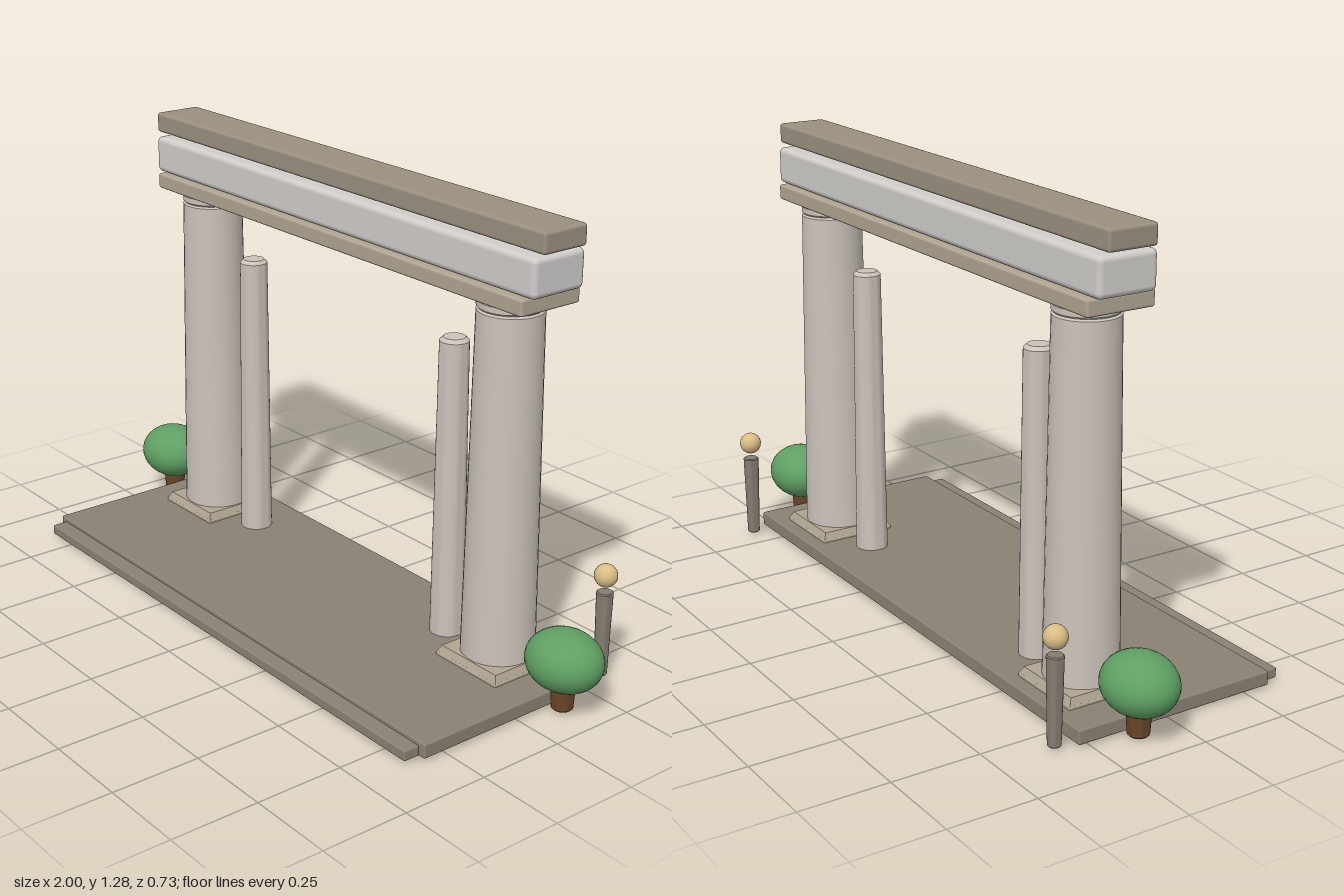
import * as THREE from 'three';
import { toCreasedNormals } from 'three/addons/utils/BufferGeometryUtils.js';
import { RoundedBoxGeometry } from 'three/addons/geometries/RoundedBoxGeometry.js';

const COLORS = {
  paving: 0x8a8273, trim: 0xb0a591, column: 0xcbc3ba, frieze: 0xd0cdca,
  cornice: 0x9a907f, post: 0x857d72, lamp: 0xd9bd84, leaf: 0x5fa063,
  trunk: 0x6b4528, panel: 0x8a7a4a,
};
const materials = Object.fromEntries(Object.entries(COLORS).map(
  ([key, color]) => [key, new THREE.MeshStandardMaterial({ color })]));

const AXIS_Z = -0.125; // line on which the gateway stands

function add(parent, name, geometry, material, x = 0, y = 0, z = 0) {
  const mesh = new THREE.Mesh(geometry, materials[material]);
  mesh.name = name;
  mesh.position.set(x, y, z);
  parent.add(mesh);
  return mesh;
}

// Box with softened edges, given by its half width and its y and z ranges
function slab(parent, name, material, halfX, y0, y1, z0, z1, bevel, x = 0) {
  const geometry = new RoundedBoxGeometry(halfX * 2, y1 - y0, z1 - z0, 2, bevel);
  return add(parent, name, geometry, material, x, (y0 + y1) / 2, (z0 + z1) / 2);
}

// Tapered round shaft with bevelled ends
function shaft(parent, name, material, rBottom, rTop, y0, y1, bevel, x, z) {
  const profile = [
    [0, y0], [rBottom - bevel, y0], [rBottom, y0 + bevel],
    [rTop, y1 - bevel], [rTop - bevel, y1], [0, y1],
  ].map(([r, y]) => new THREE.Vector2(r, y));
  const geometry = toCreasedNormals(new THREE.LatheGeometry(profile, 32), 0.6);
  return add(parent, name, geometry, material, x, 0, z);
}

// Square column foot that narrows towards the top
function footGeometry(bottom, top, height) {
  const geometry = new THREE.CylinderGeometry(top * Math.SQRT2, bottom * Math.SQRT2, height, 4, 1);
  geometry.rotateY(Math.PI / 4);
  return toCreasedNormals(geometry, 0.5);
}

export function createModel() {
  const model = new THREE.Group();
  model.name = 'gateway';

  // Paved platform with a lower front step
  slab(model, 'platform', 'paving', 0.86, 0.008, 0.049, -0.283, 0.321, 0.005);
  slab(model, 'frontStep', 'paving', 0.838, 0.008, 0.037, 0.27, 0.367, 0.004);
  slab(model, 'undersidePanel', 'panel', 0.3, 0.006, 0.02, -0.14, 0.22, 0.002);

  // Stacked lintel
  slab(model, 'architrave', 'trim', 0.783, 1.063, 1.108, -0.225, -0.025, 0.007);
  slab(model, 'frieze', 'frieze', 0.809, 1.108, 1.214, -0.212, -0.038, 0.016);
  slab(model, 'cornice', 'cornice', 0.825, 1.223, 1.281, -0.197, -0.053, 0.009);

  for (const side of [-1, 1]) {
    const half = new THREE.Group();
    half.name = side > 0 ? 'leftSide' : 'rightSide';
    model.add(half);

    // Main column with foot, necking and footing below the platform
    const x = side * 0.644;
    shaft(half, 'columnFooting', 'column', 0.06, 0.06, 0, 0.04, 0.004, x, AXIS_Z);
    slab(half, 'plinth', 'trim', 0.117, 0.006, 0.058, AXIS_Z - 0.117, AXIS_Z + 0.117, 0.005, x);
    add(half, 'columnFoot', footGeometry(0.115, 0.105, 0.02), 'trim', x, 0.066, AXIS_Z);
    shaft(half, 'column', 'column', 0.101, 0.088, 0.06, 1.038, 0.006, x, AXIS_Z);
    shaft(half, 'columnNeck', 'column', 0.088, 0.088, 1.035, 1.065, 0.007, x, AXIS_Z);

    // Slim free-standing column
    shaft(half, 'slimColumn', 'column', 0.047, 0.04, 0.03, 0.903, 0.01, side * 0.44, AXIS_Z);

    // Lamp post with floating globe
    const lampX = side * 0.825;
    shaft(half, 'lampPost', 'post', 0.018, 0.023, 0.008, 0.253, 0.003, lampX, -0.333);
    add(half, 'lampGlobe', new THREE.SphereGeometry(0.032, 20, 14), 'lamp', lampX, 0.3, -0.333);

    // Round shrub
    const shrubX = side * 0.89;
    shaft(half, 'shrubTrunk', 'trunk', 0.029, 0.034, 0.008, 0.09, 0.004, shrubX, AXIS_Z);
    const crown = add(half, 'shrubCrown', new THREE.SphereGeometry(1, 32, 20), 'leaf', shrubX, 0.148, AXIS_Z);
    crown.scale.set(0.11, 0.082, 0.097);
  }
  return model;
}
